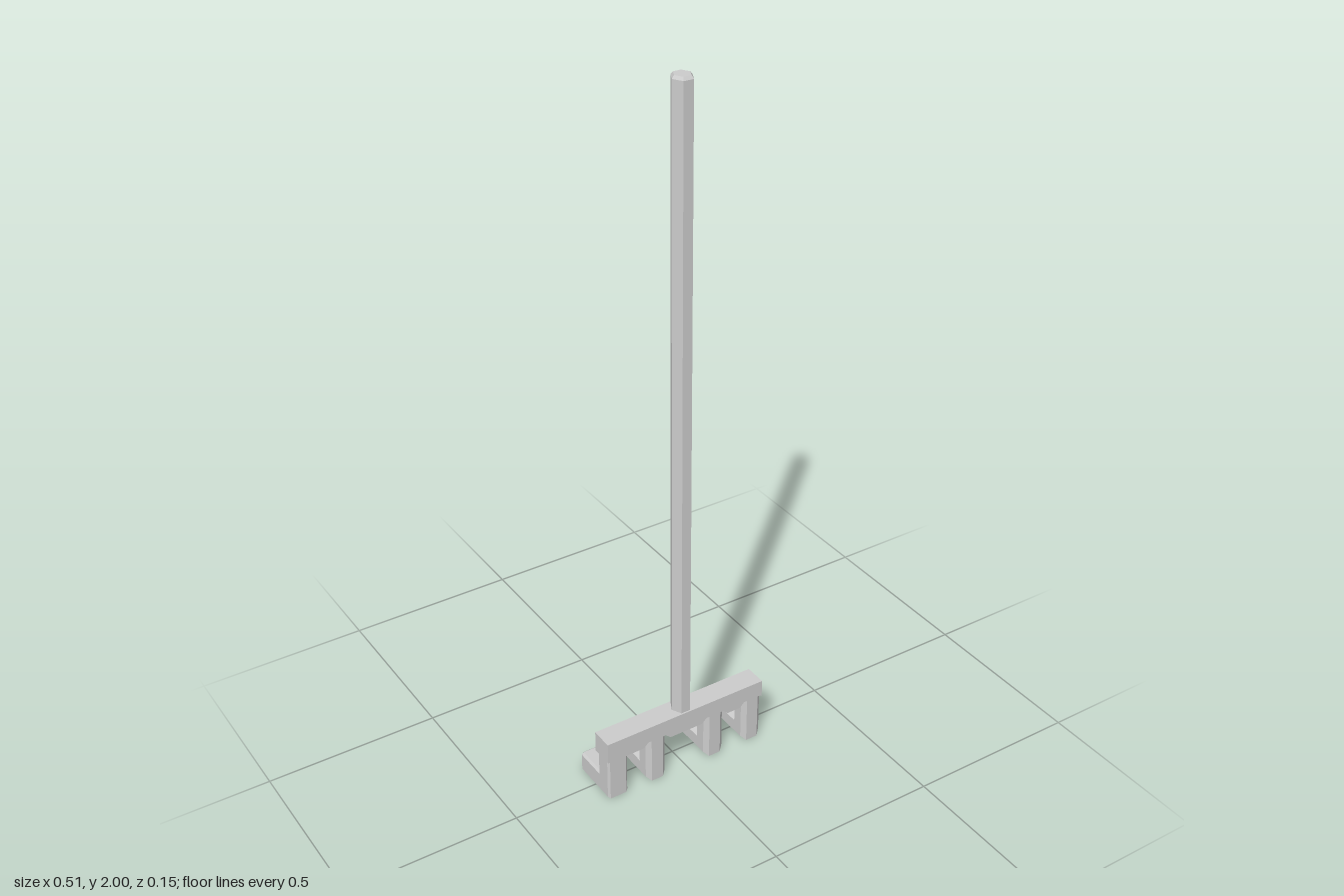
import * as THREE from 'three';

const mat = new THREE.MeshStandardMaterial({ color: 0xcccccc, flatShading: true });
const W = 0.031; // half width of a tine

// Tines from the model's right to its left: centre, section chamfer, bevel at the tip
const TINES = [
  { x: -0.222, chamfer: 0.006, bevel: 0.006 },
  { x: -0.096, chamfer: 0.013, bevel: 0.014 },
  { x: 0.094, chamfer: 0.013, bevel: 0.006 },
  { x: 0.221, chamfer: 0.013, bevel: 0 },
];

// L-shaped tine: a chamfered section swept down the leg, round a mitre and back along the foot
function tineGeometry({ chamfer: c, bevel }) {
  const k = c / (2 * W);
  const section = [
    [-W + c, 0], [W - c, 0], [W, k], [W, 1 - k],
    [W - c, 1], [-W + c, 1], [-W, 1 - k], [-W, k],
  ];
  const legZ = v => 0.073 - 0.053 * v;
  const footY = v => 0.062 * v;
  const rings = [
    section.map(([u, v]) => [u, 0.15, legZ(v)]),
    section.map(([u, v]) => [u, footY(v), legZ(v)]),
    section.map(([u, v]) => [u, footY(v), -0.075 + bevel]),
  ];
  if (bevel) {
    const s = 1 - bevel / W * 0.8;
    rings.push(section.map(([u, v]) => [u * s, 0.031 + (footY(v) - 0.031) * s, -0.075]));
  }
  const pos = [];
  const n = section.length;
  for (let r = 0; r < rings.length - 1; r++) {
    for (let i = 0; i < n; i++) {
      const j = (i + 1) % n, a = rings[r], b = rings[r + 1];
      pos.push(...a[i], ...b[i], ...b[j], ...a[i], ...b[j], ...a[j]);
    }
  }
  const tip = rings[rings.length - 1];
  for (let i = 1; i < n - 1; i++) pos.push(...tip[0], ...tip[i + 1], ...tip[i]);
  const g = new THREE.BufferGeometry();
  g.setAttribute('position', new THREE.Float32BufferAttribute(pos, 3));
  g.computeVertexNormals();
  return g;
}

// Crossbar with small sloped notches where the chamfered tines enter it
function barGeometry() {
  const s = new THREE.Shape();
  s.moveTo(-0.253, 0.127);
  for (const { x } of TINES.slice(1)) {
    s.lineTo(x - W - 0.012, 0.127);
    s.lineTo(x - W + 0.003, 0.141);
    s.lineTo(x + W - 0.003, 0.141);
    if (x < 0.2) s.lineTo(x + W + 0.012, 0.127);
  }
  s.lineTo(0.253, 0.135);
  s.lineTo(0.253, 0.19);
  s.lineTo(-0.253, 0.19);
  s.closePath();
  const g = new THREE.ExtrudeGeometry(s, { depth: 0.065, bevelEnabled: false });
  return g.translate(0, 0, 0.008);
}

// Six-sided pole with a chamfered top
function handleGeometry() {
  const profile = [[0, 0.185], [0.028, 0.185], [0.028, 1.992], [0.022, 2], [0, 2]];
  const g = new THREE.LatheGeometry(profile.map(p => new THREE.Vector2(...p)), 6);
  return g.rotateY(Math.PI / 2).scale(1, 1, 1.13).translate(0, 0, 0.041);
}

export function createModel() {
  const model = new THREE.Group();
  model.name = 'rake';
  const add = (geometry, name) => {
    const mesh = new THREE.Mesh(geometry, mat);
    mesh.name = name;
    model.add(mesh);
    return mesh;
  };
  add(handleGeometry(), 'handle');
  add(barGeometry(), 'crossbar');
  TINES.forEach((t, i) => {
    add(tineGeometry(t), `tine${i + 1}`).position.x = t.x;
  });
  return model;
}
